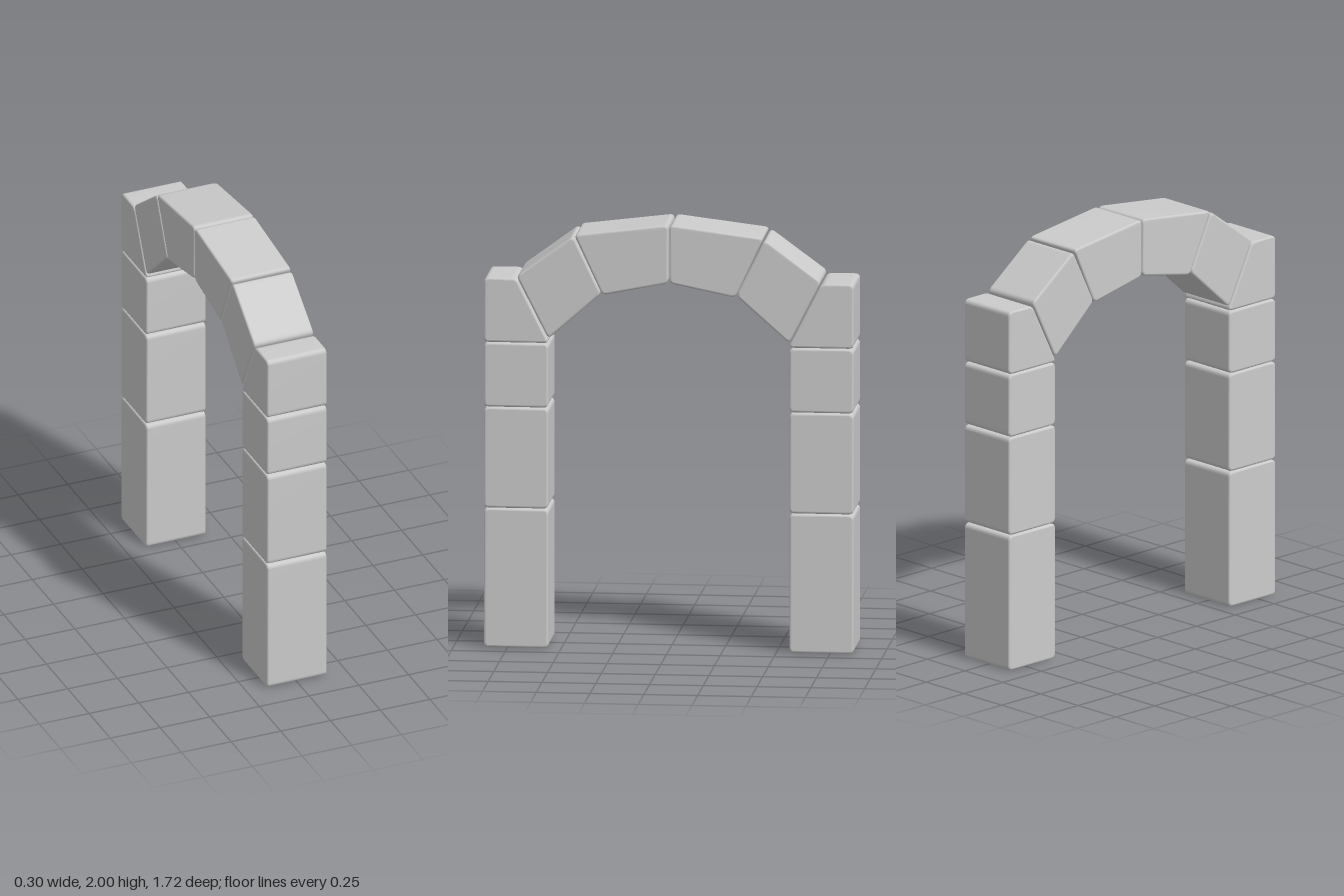
import * as THREE from 'three';
import { mergeVertices } from 'three/addons/utils/BufferGeometryUtils.js';

const WIDTH = 0.3, BEVEL = 0.01, CORNER = 0.024;
const material = new THREE.MeshStandardMaterial({ color: 0xcccccc });

// Closed outline with softened corners
function roundedOutline(points) {
  const p = points.map(([z, y]) => new THREE.Vector2(z, y));
  const shape = new THREE.Shape();
  p.forEach((corner, i) => {
    const toward = (q) => corner.clone().add(q.clone().sub(corner).setLength(CORNER));
    const a = toward(p[(i + p.length - 1) % p.length]);
    const b = toward(p[(i + 1) % p.length]);
    if (i === 0) shape.moveTo(a.x, a.y);
    else shape.lineTo(a.x, a.y);
    shape.quadraticCurveTo(corner.x, corner.y, b.x, b.y);
  });
  shape.closePath();
  return shape;
}

// Stone block: a side profile in (z, y) extruded across x with rounded edges
function stone(name, profile) {
  const depth = WIDTH - 2 * BEVEL;
  let geometry = new THREE.ExtrudeGeometry(roundedOutline(profile), {
    depth, curveSegments: 4, bevelEnabled: true, bevelSegments: 3,
    bevelSize: BEVEL, bevelThickness: BEVEL, bevelOffset: -BEVEL,
  });
  geometry.translate(0, 0, -depth / 2).rotateY(-Math.PI / 2);
  // Weld so the rounded edges shade smoothly
  geometry.deleteAttribute('uv');
  geometry.deleteAttribute('normal');
  geometry = mergeVertices(geometry, 1e-5);
  geometry.computeVertexNormals();
  const mesh = new THREE.Mesh(geometry, material);
  mesh.name = name;
  return mesh;
}

const INNER = 0.56, OUTER = 0.86;
const pillarBlock = (y0, y1) => [[INNER, y0], [OUTER, y0], [OUTER, y1], [INNER, y1]];

// Half of the arch, from the ground to the crown
const blocks = {
  lowerPillarBlock: pillarBlock(0, 0.653),
  middlePillarBlock: pillarBlock(0.656, 1.128),
  upperPillarBlock: pillarBlock(1.131, 1.432),
  springerBlock: [[0.555, 1.435], [OUTER, 1.435], [OUTER, 1.738], [0.708, 1.738]],
  archBlock: [[0.56, 1.455], [0.709, 1.748], [0.445, 1.942], [0.313, 1.674]],
  crownBlock: [[0.309, 1.665], [0.441, 1.948], [0.002, 2.002], [0.002, 1.727]],
};

export function createModel() {
  const model = new THREE.Group();
  model.name = 'stoneArch';
  for (const [side, sign] of [['front', 1], ['back', -1]]) {
    const half = new THREE.Group();
    half.name = side + 'Half';
    for (const [name, profile] of Object.entries(blocks)) {
      half.add(stone(name, profile.map(([z, y]) => [z * sign, y])));
    }
    model.add(half);
  }
  return model;
}
